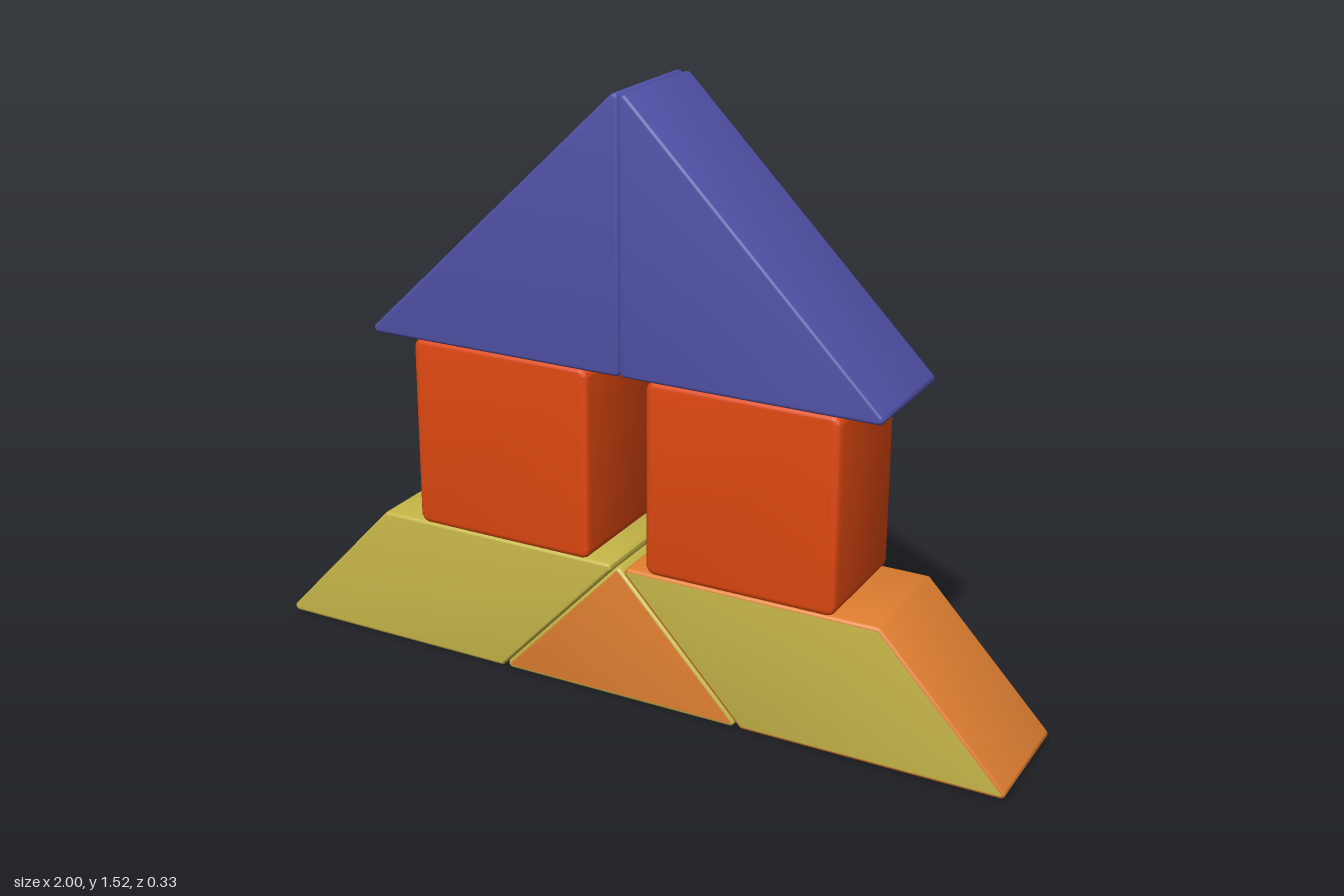
import * as THREE from 'three';
import { toCreasedNormals } from 'three/addons/utils/BufferGeometryUtils.js';

const paint = (name, color) => {
  const m = new THREE.MeshStandardMaterial({ color });
  m.name = name;
  return m;
};

// Counter-clockwise polygon with every corner rounded by an arc of radius r
function roundedPolygon(points, r) {
  const p = points.map(([x, y]) => new THREE.Vector2(x, y));
  const shape = new THREE.Shape();
  p.forEach((corner, i) => {
    const a = corner.clone().sub(p[(i + p.length - 1) % p.length]).normalize();
    const b = p[(i + 1) % p.length].clone().sub(corner).normalize();
    const inward = b.clone().sub(a).normalize();
    const centre = corner.clone().addScaledVector(inward, r / Math.abs(inward.cross(b)));
    const start = Math.atan2(-a.x, a.y);
    const turn = Math.atan2(a.cross(b), a.dot(b));
    shape.absarc(centre.x, centre.y, r, start, start + turn, false);
  });
  shape.closePath();
  return shape;
}

// Toy block with soft edges; its front, back and sides may differ in colour
function block(name, points, z0, z1, radius, bevel, front, back, sides) {
  const extruded = new THREE.ExtrudeGeometry(roundedPolygon(points, radius), {
    depth: z1 - z0 - 2 * bevel, curveSegments: 6,
    bevelEnabled: true, bevelThickness: bevel, bevelSize: bevel,
    bevelOffset: -bevel, bevelSegments: 3,
  });
  const [caps, walls] = extruded.groups;
  const geometry = toCreasedNormals(extruded, 0.6);
  geometry.clearGroups();
  geometry.addGroup(caps.start, caps.count / 2, 0);
  geometry.addGroup(caps.start + caps.count / 2, caps.count / 2, 1);
  geometry.addGroup(walls.start, walls.count, 2);
  geometry.translate(0, 0, z0 + bevel);
  const mesh = new THREE.Mesh(geometry, [back, front, sides]);
  mesh.name = name;
  return mesh;
}

export function createModel() {
  const blue = paint('blue', 0x5151a8);
  const red = paint('red', 0xdd4710);
  const olive = paint('olive', 0xc4b447);
  const orange = paint('orange', 0xde7e30);
  const model = new THREE.Group();
  model.name = 'blockHouse';
  const r = 0.012, bevel = 0.008;

  // Base: two slanted blocks with a wedge between them
  const slant = [[-1.017, 0], [-0.337, 0], [-0.003, 0.355], [-0.683, 0.355]];
  const mirrored = slant.map(([x, y]) => [-x, y]).reverse();
  const wedge = [[-0.336, 0], [0.336, 0], [0, 0.356]];
  model.add(
    block('rightBaseBlock', slant, -0.167, 0.152, r, bevel, olive, orange, olive),
    block('leftBaseBlock', mirrored, -0.167, 0.152, r, bevel, olive, orange, orange),
    block('middleBaseWedge', wedge, -0.167, 0.152, r, bevel, orange, olive, olive),
  );

  // Walls: two square blocks
  for (const [name, x] of [['rightWallBlock', -0.57], ['leftWallBlock', 0.08]]) {
    const square = [[x, 0.356], [x + 0.495, 0.356], [x + 0.495, 0.85], [x, 0.85]];
    model.add(block(name, square, -0.162, 0.158, 0.025, 0.014, red, orange, red));
  }

  // Roof: two right-angled wedges meeting at the ridge
  const ridge = 0.017;
  model.add(
    block('rightRoofWedge', [[-0.698, 0.85], [ridge, 0.85], [ridge, 1.532]],
      -0.152, 0.167, r, bevel, blue, orange, blue),
    block('leftRoofWedge', [[ridge, 0.85], [0.693, 0.85], [ridge, 1.532]],
      -0.152, 0.167, r, bevel, blue, orange, blue),
  );
  return model;
}
